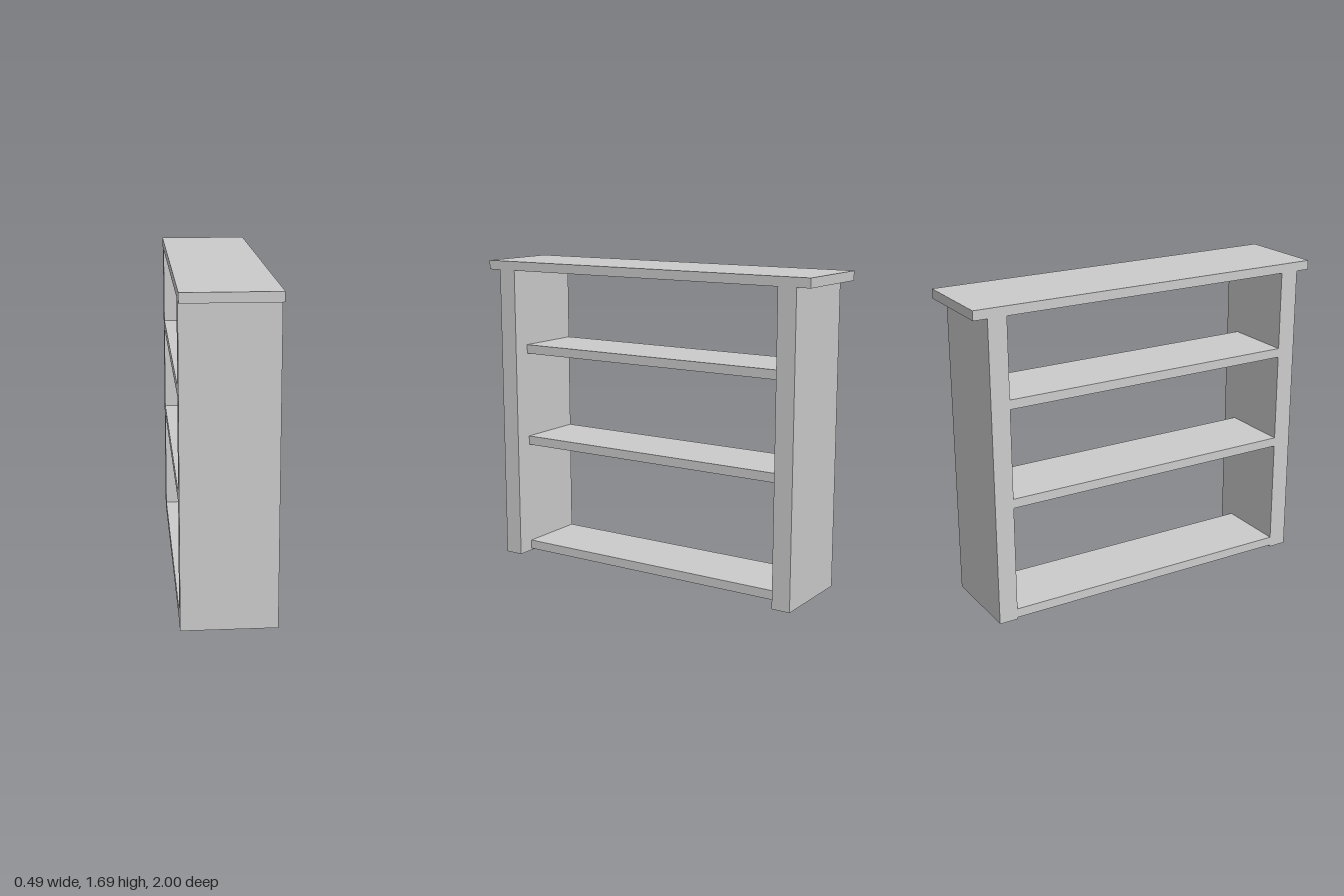
import * as THREE from 'three';

const HALF_DEPTH = 0.243;   // half width of the unit along x
const SHELF_FRONT = 0.146;  // shelves stop short of the open +x side
const BOARD = 0.05;         // thickness of top and shelves
const SIDE_IN = 0.823;
const SIDE_OUT = 0.925;
const SIDE_TOP = 1.64;

export function createModel() {
  const group = new THREE.Group();
  const material = new THREE.MeshStandardMaterial({ color: 0xcccccc, flatShading: true });

  // Box given by its lower and upper corners
  const addBoard = (name, [x0, y0, z0], [x1, y1, z1]) => {
    const mesh = new THREE.Mesh(new THREE.BoxGeometry(x1 - x0, y1 - y0, z1 - z0), material);
    mesh.position.set((x0 + x1) / 2, (y0 + y1) / 2, (z0 + z1) / 2);
    mesh.name = name;
    group.add(mesh);
  };

  // Overhanging top
  addBoard('topBoard', [-HALF_DEPTH, SIDE_TOP, -1], [HALF_DEPTH, SIDE_TOP + BOARD, 1]);

  // Thick side panels
  addBoard('frontSidePanel', [-HALF_DEPTH, 0, SIDE_IN], [HALF_DEPTH, SIDE_TOP, SIDE_OUT]);
  addBoard('backSidePanel', [-HALF_DEPTH, 0, -SIDE_OUT], [HALF_DEPTH, SIDE_TOP, -SIDE_IN]);

  // Shelves, flush at -x and set back at +x
  const shelves = { bottomShelf: 0.01, middleShelf: 0.635, upperShelf: 1.165 };
  for (const [name, y] of Object.entries(shelves)) {
    addBoard(name, [-HALF_DEPTH, y, -SIDE_IN], [SHELF_FRONT, y + BOARD, SIDE_IN]);
  }

  return group;
}
